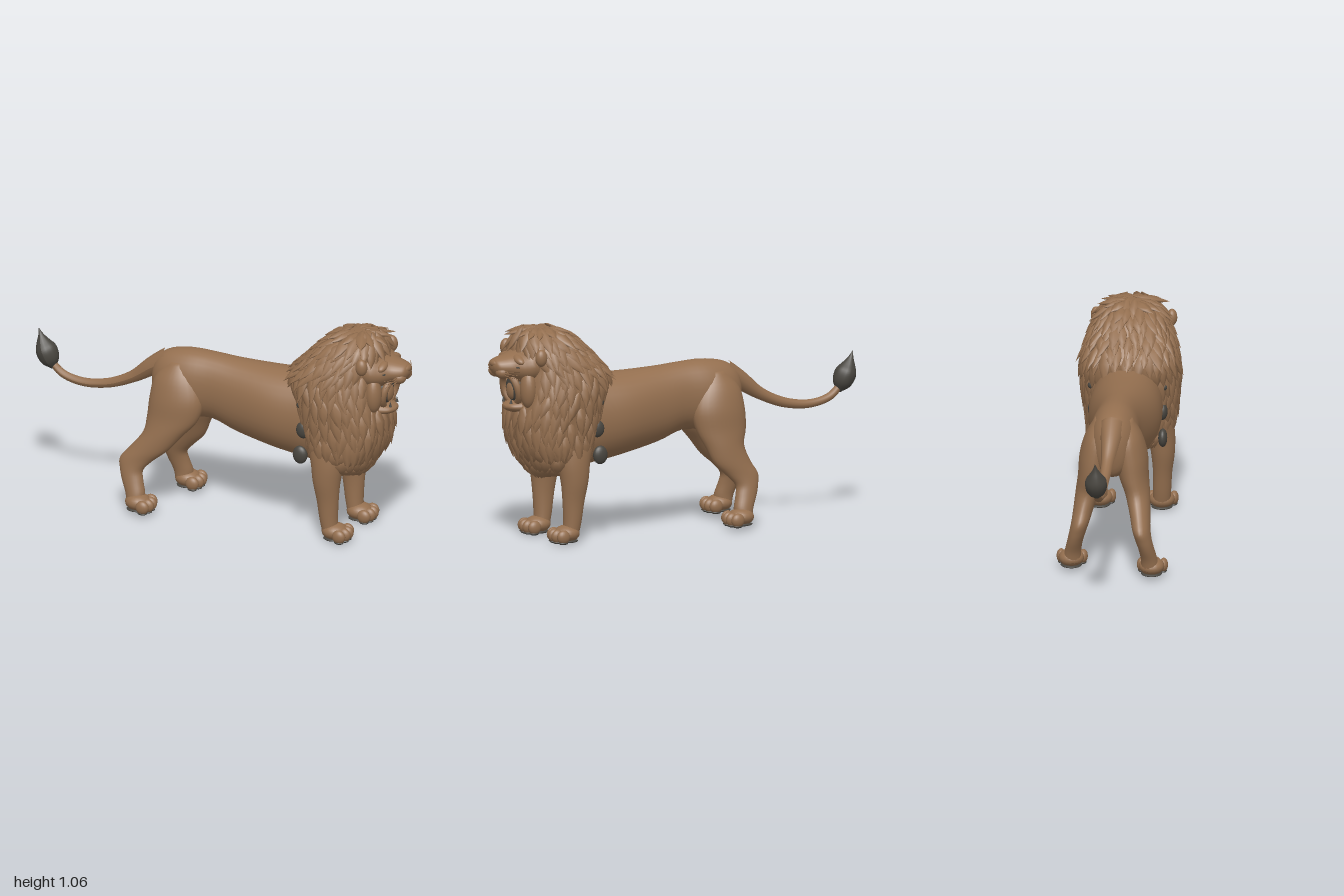
import * as THREE from 'three';
import { mergeGeometries } from 'three/addons/utils/BufferGeometryUtils.js';

const fur = new THREE.MeshStandardMaterial({ color: 0x946f4f });
fur.name = 'tawnyFur';
const dark = new THREE.MeshStandardMaterial({ color: 0x48453f });
dark.name = 'darkGrey';

let seed = 7;
const rnd = () => (seed = (seed * 16807) % 2147483647) / 2147483647;

// Smooth interpolation through rows of numbers, f from 0 to 1
function sample(rows, f) {
  const t = f * (rows.length - 1), i = Math.min(Math.floor(t), rows.length - 2), k = t - i;
  const r = j => rows[Math.max(0, Math.min(rows.length - 1, j))];
  return r(i).map((b, c) => {
    const a = r(i - 1)[c], d = r(i + 1)[c], e = r(i + 2)[c];
    return b + 0.5 * k * (d - a + k * (2 * a - 5 * b + 4 * d - e + k * (3 * (b - d) + e - a)));
  });
}

// Point on a loft. Row: [position along axis, low, high, half width, z centre]
function ringPoint(row, axis, ang, pow) {
  const [t, lo, hi, w, zc = 0] = row;
  const p = v => Math.sign(v) * Math.abs(v) ** pow;
  const a = (lo + hi) / 2 + (hi - lo) / 2 * p(Math.sin(ang)), z = w * p(Math.cos(ang));
  return axis === 'x' ? new THREE.Vector3(t, a, zc - z) : new THREE.Vector3(a, t, zc + z);
}

function loft(rows, axis, n = 28, pow = 1) {
  const steps = (rows.length - 1) * 4, pos = [], idx = [];
  for (let i = 0; i <= steps; i++) {
    const row = sample(rows, i / steps);
    for (let j = 0; j < n; j++) pos.push(...ringPoint(row, axis, j / n * Math.PI * 2, pow).toArray());
  }
  for (let i = 0; i < steps; i++) for (let j = 0; j < n; j++) {
    const a = i * n + j, b = i * n + (j + 1) % n;
    idx.push(a, b, b + n, a, b + n, a + n);
  }
  for (const [row, base, flip] of [[rows[0], 0, true], [rows[rows.length - 1], steps * n, false]]) {
    const c = pos.length / 3, [t, lo, hi, , zc = 0] = row;
    pos.push(...(axis === 'x' ? [t, (lo + hi) / 2, zc] : [(lo + hi) / 2, t, zc]));
    for (let j = 0; j < n; j++) {
      const a = base + j, b = base + (j + 1) % n;
      idx.push(c, flip ? b : a, flip ? a : b);
    }
  }
  const g = new THREE.BufferGeometry();
  g.setAttribute('position', new THREE.Float32BufferAttribute(pos, 3));
  g.setIndex(idx);
  g.computeVertexNormals();
  return g;
}

// Tube whose radius follows a list of values along its length
function taperTube(points, radii, seg = 32, n = 12) {
  const curve = new THREE.CatmullRomCurve3(points.map(p => new THREE.Vector3(...p)));
  const g = new THREE.TubeGeometry(curve, seg, 1, n), p = g.attributes.position, v = new THREE.Vector3();
  for (let i = 0; i < p.count; i++) {
    const f = Math.floor(i / (n + 1)) / seg, c = curve.getPointAt(f);
    v.fromBufferAttribute(p, i).sub(c).multiplyScalar(sample(radii.map(r => [r]), f)[0]).add(c);
    p.setXYZ(i, v.x, v.y, v.z);
  }
  g.computeVertexNormals();
  return g;
}

const maneRows = [
  [0.31, 0.61, 0.75, 0.05], [0.36, 0.53, 0.79, 0.165], [0.43, 0.50, 0.83, 0.2], [0.5, 0.475, 0.865, 0.215],
  [0.6, 0.45, 0.88, 0.225], [0.7, 0.43, 0.87, 0.235], [0.8, 0.40, 0.86, 0.225], [0.86, 0.44, 0.85, 0.21],
  [0.92, 0.5, 0.86, 0.185], [0.98, 0.56, 0.86, 0.15], [1.02, 0.62, 0.84, 0.11], [1.045, 0.69, 0.77, 0.04]];

// Leaf-shaped lock of hair with its tip along +y
const lockShape = new THREE.LatheGeometry(
  [[0, -0.5], [0.6, -0.35], [1, -0.05], [0.6, 0.25], [0, 0.5]].map(p => new THREE.Vector2(...p)), 6);

function lockAt(f, ang, len, width, lift) {
  const at = (ff, a) => ringPoint(sample(maneRows, Math.max(0, ff)), 'y', a, 0.85);
  const p = at(f, ang);
  const down = at(f - 0.04, ang).sub(p).normalize();
  const side = at(f, ang + 0.05).sub(at(f, ang - 0.05)).normalize();
  const out = new THREE.Vector3().crossVectors(side, down).normalize();
  if (out.x * (p.x - 0.65) + out.z * p.z < 0) out.negate();
  const dir = down.addScaledVector(out, lift).addScaledVector(side, (rnd() - 0.5) * 0.5).normalize();
  const x = new THREE.Vector3().crossVectors(dir, out).normalize();
  const m = new THREE.Matrix4().makeBasis(x, dir, new THREE.Vector3().crossVectors(x, dir));
  m.scale(new THREE.Vector3(width, len, width * 0.45)).setPosition(p.addScaledVector(dir, len * 0.15));
  return lockShape.clone().applyMatrix4(m);
}

export function createModel() {
  const lion = new THREE.Group();
  const add = (name, geo, mat = fur, parent = lion) => {
    const m = new THREE.Mesh(geo, mat);
    m.name = name;
    parent.add(m);
    return m;
  };
  const ball = (name, x, y, z, rx, ry, rz, mat = fur, parent = lion) => {
    const m = add(name, new THREE.SphereGeometry(1, 20, 14), mat, parent);
    m.position.set(x, y, z);
    m.scale.set(rx, ry, rz);
    return m;
  };

  // Body from rump to chest
  add('body', loft([
    [-0.36, 0.63, 0.69, 0.02], [-0.335, 0.52, 0.755, 0.07], [-0.27, 0.48, 0.797, 0.105], [-0.16, 0.47, 0.815, 0.12],
    [-0.03, 0.475, 0.81, 0.115], [0.1, 0.43, 0.8, 0.133], [0.3, 0.385, 0.793, 0.172], [0.45, 0.36, 0.8, 0.175],
    [0.6, 0.34, 0.82, 0.16], [0.75, 0.4, 0.78, 0.12], [0.82, 0.5, 0.7, 0.05]], 'x', 32, 0.95));

  // Mane: solid core covered in overlapping locks
  add('maneCore', loft(maneRows, 'y', 40, 0.85));
  const locks = [];
  for (let r = 0; r < 15; r++) {
    const f = 0.08 + r / 14 * 0.87, count = r > 12 ? 14 : 28;
    for (let j = 0; j < count; j++) {
      const ang = (j + (r % 2) / 2 + (rnd() - 0.5) * 0.5) / count * Math.PI * 2;
      const p = ringPoint(sample(maneRows, f), 'y', ang, 0.85);
      if (p.x > 0.7 && Math.abs(p.z) < 0.15 && p.y > 0.66 && p.y < 0.98) continue;
      const low = p.y < 0.45;
      locks.push(lockAt(f, ang, low ? 0.1 : 0.12 + rnd() * 0.06, 0.024 + rnd() * 0.012, low ? 0.1 : 0.16));
    }
  }
  add('maneLocks', mergeGeometries(locks));

  // Face
  add('head', loft([
    [0.74, 0.76, 1.0, 0.13], [0.83, 0.77, 0.975, 0.15], [0.88, 0.79, 0.94, 0.125], [0.92, 0.81, 0.925, 0.088],
    [0.96, 0.82, 0.915, 0.068], [0.985, 0.835, 0.905, 0.05], [0.997, 0.86, 0.888, 0.02]], 'x'));
  add('lowerJaw', loft([
    [0.76, 0.62, 0.72, 0.12], [0.84, 0.63, 0.71, 0.09], [0.89, 0.64, 0.695, 0.066], [0.915, 0.65, 0.685, 0.045],
    [0.928, 0.66, 0.675, 0.015]], 'x'));
  ball('mouthCavity', 0.87, 0.755, 0, 0.03, 0.068, 0.072, dark);
  ball('tongue', 0.885, 0.745, 0, 0.022, 0.045, 0.042);
  const lips = add('lips', new THREE.TorusGeometry(0.077, 0.017, 10, 32));
  lips.rotation.set(0, Math.PI / 2, 0);
  lips.rotation.order = 'ZYX';
  lips.rotation.z = -0.25;
  lips.position.set(0.89, 0.755, 0);
  ball('nose', 0.983, 0.885, 0, 0.018, 0.018, 0.034);
  for (const s of [1, -1]) {
    ball('cheek', 0.85, 0.76, s * 0.105, 0.04, 0.09, 0.045);
    ball('muzzlePad', 0.95, 0.843, s * 0.035, 0.04, 0.032, 0.036);
    ball('brow', 0.885, 0.905, s * 0.075, 0.026, 0.02, 0.045).rotation.x = s * 0.3;
    ball('eyeCrease', 0.896, 0.872, s * 0.092, 0.012, 0.004, 0.024, dark).rotation.set(0, s * 0.6, 0);
    ball('ear', 0.82, 0.925, s * 0.185, 0.03, 0.042, 0.026);
    for (const [y, r, h] of [[0.812, Math.PI, 0.035], [0.7, 0, 0.028]]) {
      const fang = add('fang', new THREE.ConeGeometry(0.008, h, 8), dark);
      fang.position.set(0.91, y, s * 0.04);
      fang.rotation.x = r;
    }
    for (let i = 0; i < 3; i++) add('whisker', taperTube([
      [0.955, 0.85 - i * 0.01, s * 0.06], [0.955, 0.855 - i * 0.012, s * 0.11], [0.925, 0.86 - i * 0.018, s * 0.165]],
    [0.003, 0.002, 0.0008], 8, 5));
  }

  // Paw with four toes and a dark sole
  const paw = (name, x, y, z) => {
    const g = new THREE.Group();
    g.name = name;
    g.position.set(x, y, z);
    lion.add(g);
    ball('pawBase', 0, 0.045, 0, 0.065, 0.042, 0.062, fur, g);
    for (let i = 0; i < 4; i++) {
      const k = i - 1.5, reach = 0.062 - Math.abs(k) * 0.012;
      ball('toe', reach, 0.037, k * 0.036, 0.034, 0.034, 0.022, fur, g);
      ball('toePad', reach, 0.007, k * 0.036, 0.024, 0.008, 0.016, dark, g);
    }
    ball('solePad', -0.005, 0.009, 0, 0.052, 0.01, 0.052, dark, g);
  };

  for (const s of [1, -1]) {
    const side = s > 0 ? 'left' : 'right';
    // Front leg
    add(side + 'FrontLeg', loft([
      [0.03, 0.605, 0.685, 0.042, s * 0.152], [0.1, 0.59, 0.68, 0.044, s * 0.155], [0.2, 0.575, 0.685, 0.047, s * 0.158],
      [0.3, 0.555, 0.695, 0.058, s * 0.16], [0.4, 0.54, 0.715, 0.066, s * 0.152], [0.52, 0.5, 0.74, 0.07, s * 0.13],
      [0.64, 0.52, 0.72, 0.05, s * 0.12]], 'y'));
    paw(side + 'FrontPaw', 0.665, 0, s * 0.152);

    // Hind leg; the right one steps further forward
    const step = y => s > 0 ? 0 : 0.09 * Math.max(0, Math.min(1, (0.5 - y) / 0.22));
    const hind = [
      [0.045, -0.415, -0.33, 0.045, 0.195], [0.1, -0.425, -0.325, 0.04, 0.19], [0.16, -0.45, -0.34, 0.038, 0.178],
      [0.21, -0.465, -0.345, 0.04, 0.165], [0.26, -0.47, -0.3, 0.044, 0.152], [0.32, -0.42, -0.225, 0.05, 0.14],
      [0.4, -0.36, -0.155, 0.06, 0.122], [0.48, -0.348, -0.085, 0.072, 0.1], [0.58, -0.34, -0.06, 0.08, 0.085],
      [0.68, -0.32, -0.09, 0.072, 0.065], [0.76, -0.25, -0.15, 0.04, 0.05]]
      .map(([y, a, b, w, z]) => [y, a + step(y), b + step(y), w, s * z]);
    add(side + 'HindLeg', loft(hind, 'y'));
    paw(side + 'HindPaw', -0.355 + step(0), 0.014, s * 0.2);

    // Dark under-mane hair behind the shoulder
    for (const [x, y, r] of [[0.505, 0.55, 0.035], [0.49, 0.42, 0.038], [0.49, 0.68, 0.016]])
      ball('underMane', x, y, s * 0.172, r, r * 1.2, 0.022, dark);
  }

  // Tail and tuft
  add('tail', taperTube([
    [-0.27, 0.745, 0], [-0.36, 0.695, 0], [-0.47, 0.62, -0.005], [-0.6, 0.565, -0.01], [-0.74, 0.548, -0.012],
    [-0.85, 0.575, -0.014], [-0.91, 0.63, -0.015]], [0.06, 0.045, 0.03, 0.025, 0.022, 0.02, 0.018], 48));
  add('tailTuft', taperTube([
    [-0.896, 0.595, -0.015], [-0.925, 0.66, -0.015], [-0.95, 0.715, -0.015], [-0.975, 0.79, -0.015]],
  [0.012, 0.042, 0.053, 0.052, 0.034, 0.014, 0.002], 24, 14), dark);
  return lion;
}
